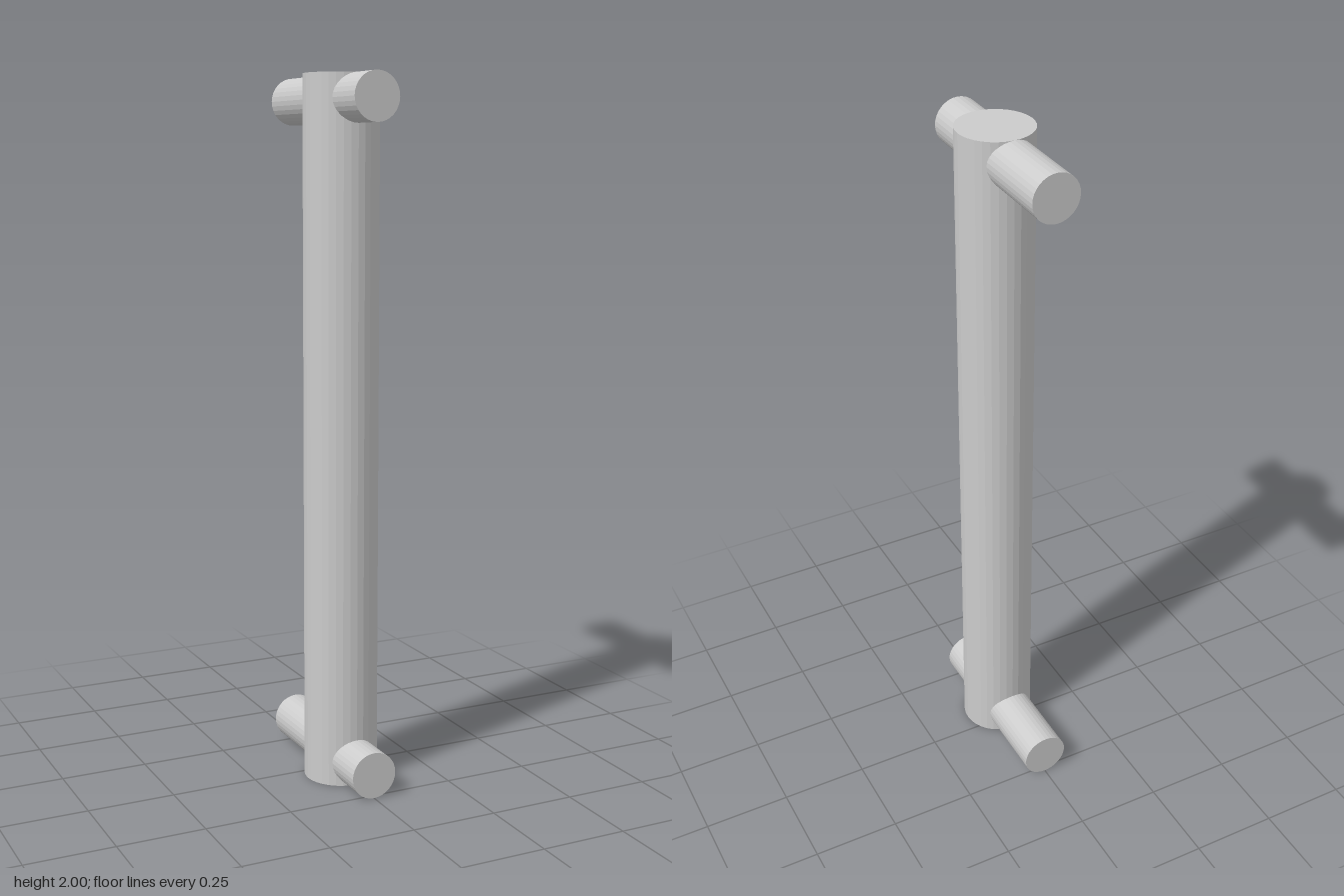
import * as THREE from 'three';

const SIDES = 32;

export function createModel() {
  const group = new THREE.Group();
  const material = new THREE.MeshStandardMaterial({ color: 0xcccccc, flatShading: true });

  // Upright bar, set slightly forward on the crossbars
  const bar = new THREE.Mesh(new THREE.CylinderGeometry(0.106, 0.106, 2, SIDES), material);
  bar.name = 'uprightBar';
  bar.position.set(0, 1, 0.053);
  group.add(bar);

  // Crossbars running front to back, flush with each end of the bar
  const radius = 0.0667;
  const crossGeometry = new THREE.CylinderGeometry(radius, radius, 0.534, SIDES).rotateX(Math.PI / 2);
  for (const [name, y] of [['lowerCrossbar', radius], ['upperCrossbar', 2 - radius]]) {
    const crossbar = new THREE.Mesh(crossGeometry, material);
    crossbar.name = name;
    crossbar.position.y = y;
    group.add(crossbar);
  }

  return group;
}
